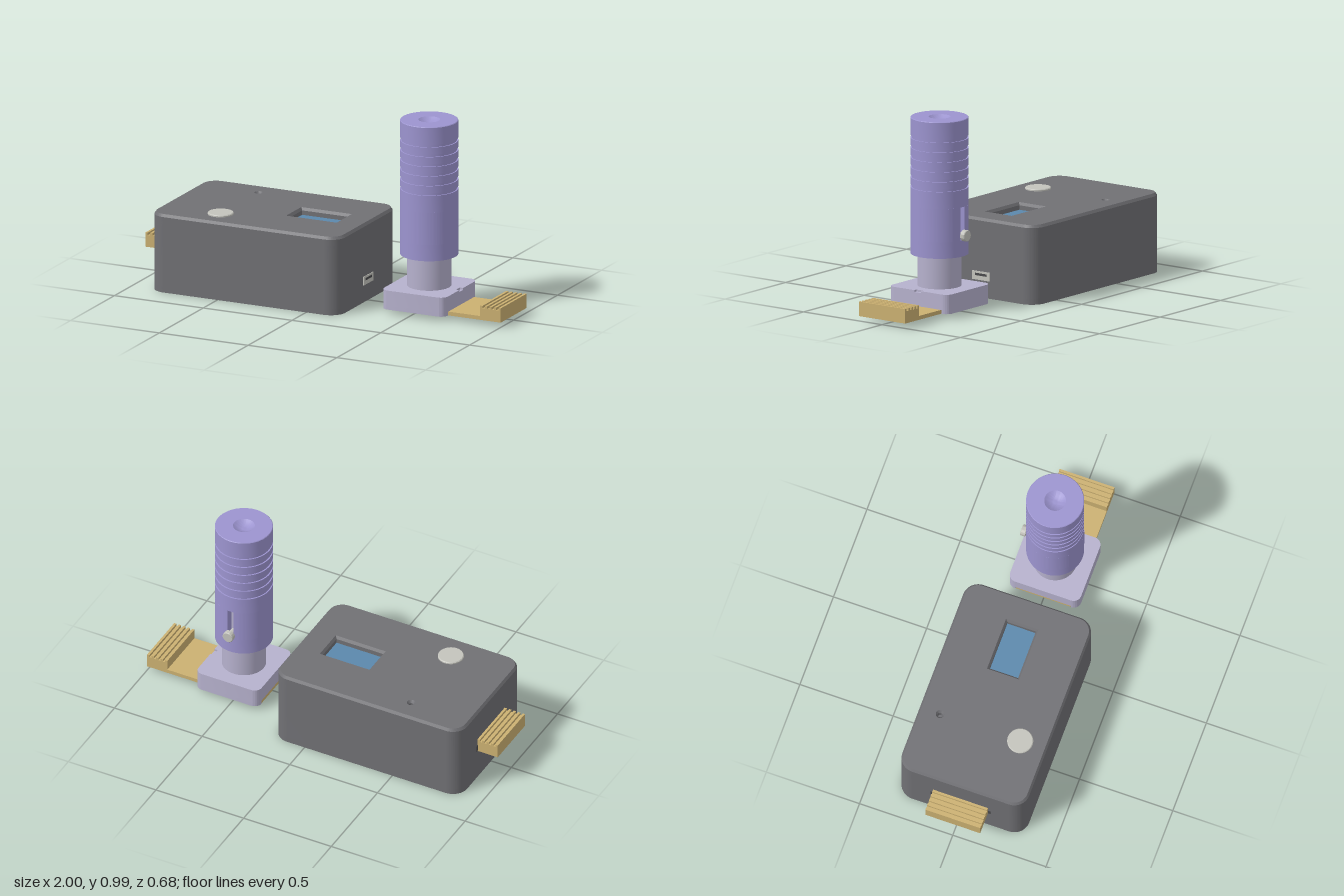
import * as THREE from 'three';
import { toCreasedNormals } from 'three/addons/utils/BufferGeometryUtils.js';

const mat = (name, color) => {
  const m = new THREE.MeshStandardMaterial({ color });
  m.name = name;
  return m;
};

export function createModel() {
  const model = new THREE.Group();
  const casing = mat('casing grey', 0x707074);
  const brass = mat('brass', 0xcbb071);
  const violet = mat('violet', 0x9c94cf);
  const lavender = mat('pale lavender', 0xb6b1cd);
  const glass = mat('screen blue', 0x5b88ac);
  const metal = mat('light metal', 0xc3c3bc);
  const dark = mat('dark opening', 0x4a4a4c);

  const add = (parent, name, geo, material, x = 0, y = 0, z = 0) => {
    const m = new THREE.Mesh(toCreasedNormals(geo, 0.5), material);
    m.name = name;
    m.position.set(x, y, z);
    parent.add(m);
    return m;
  };
  const group = (name, x = 0) => {
    const g = new THREE.Group();
    g.name = name;
    g.position.x = x;
    model.add(g);
    return g;
  };
  // extrude a plan shape upwards from y = 0 (shape y becomes -z)
  const rise = (shape, depth, opts = {}) =>
    new THREE.ExtrudeGeometry(shape, { depth, bevelEnabled: false, curveSegments: 12, ...opts }).rotateX(-Math.PI / 2);
  // rounded rectangle centred on the origin, with an optional notch in the +x edge
  const roundRect = (hx, hy, r, notch = 0) => {
    const s = new THREE.Shape();
    s.absarc(hx - r, -hy + r, r, -Math.PI / 2, 0);
    if (notch) [[hx, -notch], [hx - 0.018, -notch], [hx - 0.018, notch], [hx, notch]].forEach(p => s.lineTo(...p));
    s.absarc(hx - r, hy - r, r, 0, Math.PI / 2);
    s.absarc(-hx + r, hy - r, r, Math.PI / 2, Math.PI);
    s.absarc(-hx + r, -hy + r, r, Math.PI, Math.PI * 1.5);
    s.closePath();
    return s;
  };
  const rectHole = (x0, x1, y0, y1) => new THREE.Path([
    [x0, y0], [x0, y1], [x1, y1], [x1, y0]].map(p => new THREE.Vector2(...p)));
  const roundHole = (x, y, r) => new THREE.Path().absarc(x, y, r, 0, Math.PI * 2, true);
  const lathe = pts => new THREE.LatheGeometry(pts.map(p => new THREE.Vector2(...p)), 64);

  // ---- control box ----
  const cx = -0.352;
  const box = group('controlBox', cx);
  const outline = () => roundRect(0.5325, 0.34, 0.08);

  // bottom layer with screw wells and vent slots
  const floor = outline();
  for (const sx of [-1, 1]) for (const sz of [-1, 1]) {
    floor.holes.push(roundHole(sx * 0.475, sz * 0.28, 0.034));
    add(box, 'screw', new THREE.CylinderGeometry(0.023, 0.023, 0.02, 24), casing, sx * 0.475, 0.022, sz * 0.28);
  }
  for (let i = -2; i <= 2; i++) {
    const c = i * 0.066, x0 = 0.165, x1 = 0.4, r = 0.01;
    const slot = new THREE.Path();
    slot.absarc(x1, c, r, Math.PI / 2, -Math.PI / 2, true);
    slot.absarc(x0, c, r, -Math.PI / 2, -Math.PI * 1.5, true);
    slot.closePath();
    floor.holes.push(slot);
  }
  add(box, 'bottomPanel', rise(floor, 0.03), casing);
  add(box, 'body', rise(outline(), 0.335), casing, 0, 0.03);

  // chamfered lid with screen window and indicator hole
  const lid = outline();
  lid.holes.push(rectHole(0.122, 0.387, -0.073, 0.08), roundHole(-0.198, 0.23, 0.012));
  const b = 0.014;
  add(box, 'lid', rise(lid, 0.05, {
    bevelEnabled: true, bevelThickness: b, bevelSize: b * 0.7, bevelOffset: -b * 0.7, bevelSegments: 1,
  }), casing, 0, 0.41 - 0.05 - b);
  add(box, 'screen', new THREE.BoxGeometry(0.268, 0.008, 0.156), glass, 0.2545, 0.369, -0.0035);
  add(box, 'button', lathe([[0, 0], [0.066, 0], [0.066, 0.016], [0.062, 0.02], [0, 0.02]]), metal, -0.198, 0.4, 0.2);

  // socket on the right end
  add(box, 'portShell', new THREE.BoxGeometry(0.006, 0.045, 0.11), metal, 0.5325, 0.112, 0);
  add(box, 'portTongue', new THREE.BoxGeometry(0.006, 0.012, 0.07), dark, 0.534, 0.118, 0);
  // opening behind the brass contact
  add(box, 'contactOpening', new THREE.BoxGeometry(0.004, 0.035, 0.32), dark, -0.5325, 0.185, 0);

  // ---- ribbed brass contacts ----
  const ribbed = () => {
    const s = new THREE.Shape(), w = 0.115, h = 0.075, n = 5, p = w / (n * 2 - 1);
    s.moveTo(0, 0);
    s.lineTo(w, 0);
    for (let i = 0; i < n; i++) {
      const x = w - i * 2 * p;
      s.lineTo(x, h);
      s.lineTo(x - p, h);
      if (i < n - 1) {
        s.lineTo(x - p, h - 0.013);
        s.lineTo(x - 2 * p, h - 0.013);
      }
    }
    s.closePath();
    return new THREE.ExtrudeGeometry(s, { depth: 0.294, bevelEnabled: false });
  };
  add(model, 'leftContact', ribbed(), brass, -1, 0.165, -0.147);

  // ---- plunger tool ----
  const tx = 0.525;
  const tool = group('plungerTool', tx);
  add(tool, 'rightContact', ribbed(), brass, 1 - 0.115 - tx, 0.025, -0.147);
  const strip = new THREE.Shape([[-0.178, -0.147], [0.361, -0.147], [0.361, 0.147], [-0.178, 0.147]]
    .map(p => new THREE.Vector2(...p)));
  strip.holes.push(rectHole(-0.14, 0.03, -0.08, 0.08));
  add(tool, 'contactStrip', rise(strip, 0.02), brass, 0, 0.025);

  // base block straddling the strip
  add(tool, 'base', rise(roundRect(0.18, 0.19, 0.04), 0.07), lavender, 0, 0.045);
  add(tool, 'baseTop', rise(roundRect(0.18, 0.19, 0.04, 0.022), 0.01), lavender, 0, 0.115);
  for (const side of [0, 1]) {
    const rail = new THREE.Shape();
    rail.moveTo(-0.18, 0.15);
    rail.lineTo(0.18, 0.15);
    rail.absarc(0.14, 0.15, 0.04, 0, Math.PI / 2);
    rail.absarc(-0.14, 0.15, 0.04, Math.PI / 2, Math.PI);
    add(tool, 'baseRail', rise(rail, 0.02), lavender, 0, 0.025).rotation.y = side * Math.PI;
  }
  add(tool, 'stem', new THREE.CylinderGeometry(0.112, 0.112, 0.43, 64), lavender, 0, 0.335);

  // barrel: lower ring, slotted middle, grooved upper part with a dished top
  const R = 0.147, slotLow = 0.375, slotHigh = 0.545;
  add(tool, 'barrelFoot', lathe([[0, 0.29], [R, 0.29], [R, slotLow], [0, slotLow]]), violet);
  const ring = new THREE.Shape(), gap = 0.12, back = Math.PI / 2;
  ring.absarc(0, 0, R, back + gap, back + Math.PI * 2 - gap);
  ring.absarc(0, 0, 0.11, back + Math.PI * 2 - gap, back + gap, true);
  ring.closePath();
  add(tool, 'barrelSlotted', rise(ring, slotHigh - slotLow, { curveSegments: 64 }), violet, 0, slotLow);
  const profile = [[0, slotHigh], [R, slotHigh]];
  for (let i = 0; i < 6; i++) {
    const y = 0.634 + i * 0.0508;
    profile.push([R, y], [R - 0.007, y], [R - 0.007, y + 0.014], [R, y + 0.014]);
  }
  profile.push([R, 0.991], [R - 0.003, 0.994], [0.055, 0.994]);
  for (let i = 1; i <= 6; i++) {
    const t = i / 6;
    profile.push([0.055 * (1 - t), 0.994 - 0.022 * (1 - (1 - t) ** 2)]);
  }
  add(tool, 'barrelGrip', lathe(profile), violet);

  // thumb knob riding in the slot
  const knob = add(tool, 'slideKnob', lathe([
    [0, 0.1], [0.015, 0.1], [0.015, 0.153], [0.029, 0.153], [0.029, 0.176], [0.026, 0.179], [0, 0.179]]),
    metal, 0, 0.4);
  knob.rotation.x = -Math.PI / 2;

  return model;
}
